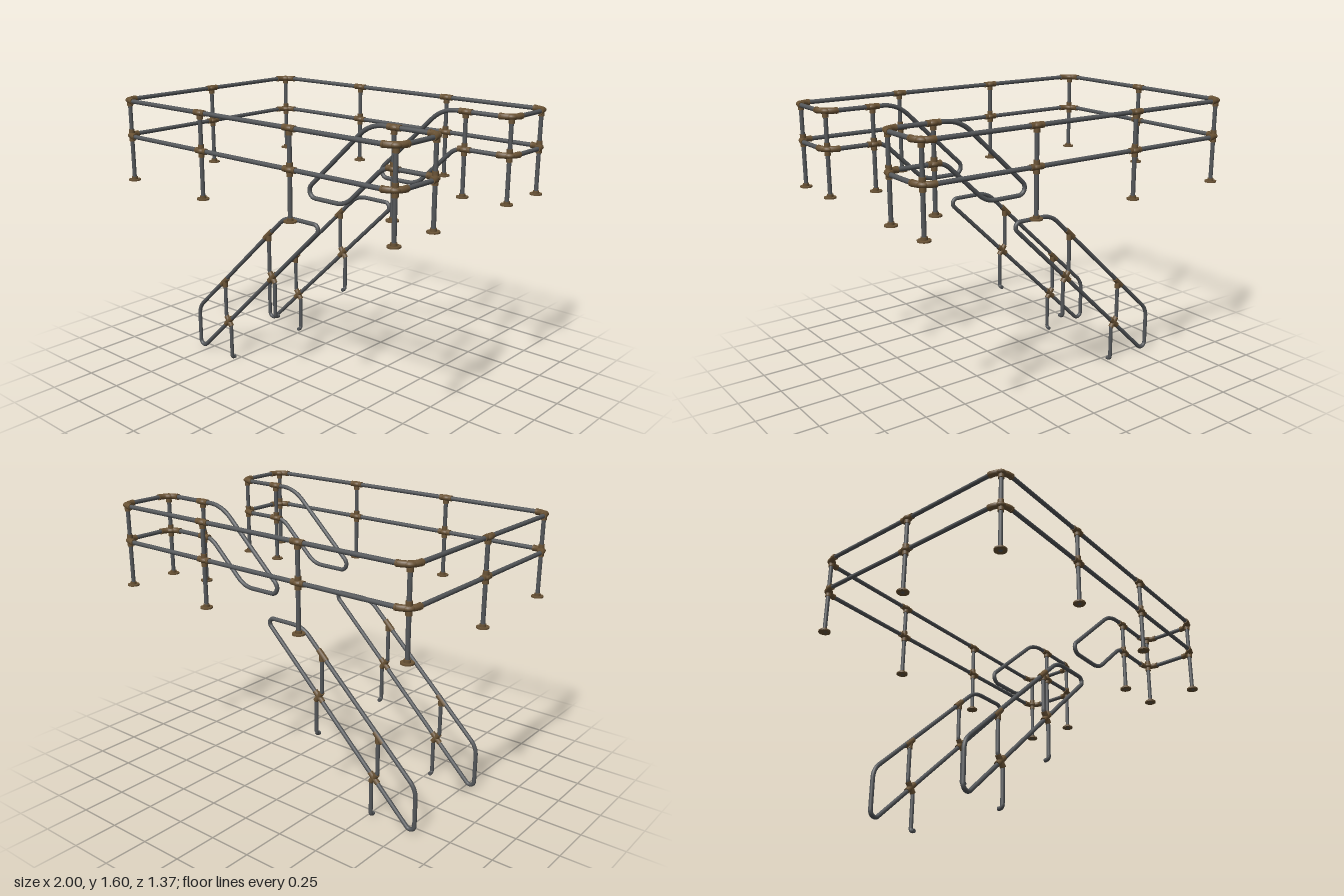
import * as THREE from 'three';

const pipeMat = new THREE.MeshStandardMaterial({ color: 0x54575a });
pipeMat.name = 'steel grey';
const fitMat = new THREE.MeshStandardMaterial({ color: 0x6a5335 });
fitMat.name = 'bronze brown';

const V = (x, y, z) => new THREE.Vector3(x, y, z);
const UP = V(0, 1, 0);
const R = 0.0122, TOP = 1.587, MID = 1.385, BASE = 1.12;

// Circular bend between two pipe directions (rational quadratic)
class Bend extends THREE.Curve {
  constructor(a, p, b) {
    super();
    Object.assign(this, { a, p, b });
    const u = a.clone().sub(p).normalize(), v = b.clone().sub(p).normalize();
    this.w = Math.sin(u.angleTo(v) / 2);
  }
  getPoint(t, out = V(0, 0, 0)) {
    const k0 = (1 - t) * (1 - t), k1 = 2 * t * (1 - t) * this.w, k2 = t * t;
    return out.set(0, 0, 0).addScaledVector(this.a, k0).addScaledVector(this.p, k1)
      .addScaledVector(this.b, k2).divideScalar(k0 + k1 + k2);
  }
}

function add(group, geo, mat, name) {
  const m = new THREE.Mesh(geo, mat);
  m.name = name;
  group.add(m);
  return m;
}

// Cylinder between two points
function rod(group, a, b, r, mat, name, open = false) {
  const d = b.clone().sub(a);
  const m = add(group, new THREE.CylinderGeometry(r, r, d.length(), 14, 1, open), mat, name);
  m.position.copy(a).addScaledVector(d, 0.5);
  m.quaternion.setFromUnitVectors(UP, d.normalize());
  return m;
}

// Sleeve centred on a point
function sleeve(group, p, dir, len, r) {
  const h = dir.clone().normalize().multiplyScalar(len / 2);
  rod(group, p.clone().sub(h), p.clone().add(h), r, fitMat, 'sleeve');
}

// Pipe through corner points; each entry is [x, y, z, trim length of the bend]
function pipe(parent, pts, closed, name, r = R) {
  const g = new THREE.Group();
  g.name = name;
  parent.add(g);
  const n = pts.length, P = pts.map(p => V(p[0], p[1], p[2])), bends = [];
  for (let i = 0; i < n; i++) {
    const p = P[i], d = pts[i][3] || 0;
    if (!d) { bends.push({ a: p, b: p }); continue; }
    const toward = q => p.clone().addScaledVector(q.clone().sub(p).normalize(), d);
    const bend = new Bend(toward(P[(i + n - 1) % n]), p, toward(P[(i + 1) % n]));
    bends.push(bend);
    add(g, new THREE.TubeGeometry(bend, 10, r, 14), pipeMat, 'bend');
  }
  for (let i = 0; i < (closed ? n : n - 1); i++) {
    rod(g, bends[i].b, bends[(i + 1) % n].a, r, pipeMat, 'straight', closed);
  }
  return bends;
}

// Rounded body of a fitting
function bulge(group, p, dir, sx, sy, sz) {
  const m = add(group, new THREE.SphereGeometry(1, 16, 10), fitMat, 'fittingBody');
  m.scale.set(sx, sy, sz);
  m.position.copy(p);
  m.rotation.y = Math.atan2(-dir.z, dir.x);
}

// Post with floor flange and a fitting at each rail
function post(parent, x, z, dir, corner) {
  const g = new THREE.Group();
  g.name = 'platformPost';
  parent.add(g);
  rod(g, V(x, BASE, z), V(x, TOP, z), 0.0118, pipeMat, 'upright');
  rod(g, V(x, BASE, z), V(x, BASE + 0.008, z), 0.034, fitMat, 'flange');
  rod(g, V(x, BASE + 0.008, z), V(x, BASE + 0.022, z), 0.017, fitMat, 'collar');
  for (const y of [TOP, MID]) {
    const p = V(x, y, z);
    bulge(g, p, dir, 0.03, 0.017, 0.024);
    if (!corner) sleeve(g, p, dir, 0.078, 0.0165);
    const low = y - 0.034, high = y === TOP ? y : y + 0.034;
    rod(g, V(x, low, z), V(x, high, z), 0.0165, fitMat, 'verticalSleeve');
  }
}

// Platform guard rail: top and middle rails joined by a sloping loop at each end
function platformRail(root) {
  const g = new THREE.Group();
  g.name = 'platformRailing';
  root.add(g);
  const zi = 0.306, zo = 0.653, xl = 0.978, xr = -0.973, c = 0.075;
  const plan = [[xl, zi], [xl, zo], [xr, zo], [xr, -zo], [xl, -zo], [xl, -zi]];
  const pts = [
    [0.543, TOP, zi, 0.09],
    ...plan.map(([x, z]) => [x, TOP, z, c]),
    [0.543, TOP, -zi, 0.09], [0.077, 1.145, -zi, 0.1],
    [0.385, 1.145, -zi, 0.06], [0.638, MID, -zi, 0.05],
    ...plan.slice().reverse().map(([x, z]) => [x, MID, z, c]),
    [0.638, MID, zi, 0.05], [0.385, 1.145, zi, 0.06], [0.077, 1.145, zi, 0.1],
  ];
  const bends = pipe(g, pts, true, 'guardRail');

  // Corner fittings wrap every platform bend; posts stand at the bend middle
  bends.forEach((b, i) => {
    const { p } = b;
    if (Math.abs(p.x) < 0.9) return;
    add(g, new THREE.TubeGeometry(b, 10, 0.0165, 14), fitMat, 'cornerFitting');
    for (const [e, o] of [[b.a, b.b], [b.b, b.a]]) {
      sleeve(g, e, p.clone().sub(e), 0.012, 0.0175);
    }
    if (p.y === TOP) {
      const m = b.getPoint(0.5);
      post(g, m.x, m.z, b.b.clone().sub(b.a), true);
    }
  });

  post(g, xr, 0, V(0, 0, 1), false);
  for (const s of [1, -1]) {
    for (const x of [-0.32, 0.33]) post(g, x, s * zo, V(1, 0, 0), false);
    post(g, 0.693, s * zi, V(1, 0, 0), false);
  }
}

// Stair handrail: closed sloping loop on two cranked posts
function stairRail(root, s) {
  const g = new THREE.Group();
  g.name = s > 0 ? 'frontStairRail' : 'backStairRail';
  root.add(g);
  const z = s * 0.306;
  pipe(g, [
    [-0.81, 0.272, z, 0.05], [-0.81, -0.017, z, 0.07],
    [0.238, 1.0, z, 0.07], [-0.044, 1.0, z, 0.06],
  ], true, 'handrailLoop', 0.0118);
  const slope = V(1, 0.96, 0), cross = V(0.75, -1, 0);
  for (const [x, y] of [[-0.54, 0.248], [-0.157, 0.62]]) {
    const foot = y - 0.236;
    pipe(g, [
      [x - 0.022, y + 0.25, z, 0], [x - 0.022, y + 0.03, z, 0.012],
      [x + 0.018, y - 0.025, z, 0.012], [x + 0.018, foot, z, 0.016],
      [x + 0.018, foot, z - s * 0.026, 0],
    ], false, 'stairPost', 0.0112);
    const hub = V(x, y, z), head = V(x - 0.026, y + 0.25, z);
    sleeve(g, hub, slope, 0.075, 0.0155);
    sleeve(g, hub, cross, 0.07, 0.0155);
    bulge(g, hub, V(1, 0, 0), 0.02, 0.02, 0.016);
    sleeve(g, head, slope, 0.075, 0.0155);
    rod(g, V(x - 0.022, y + 0.215, z), V(x - 0.022, y + 0.25, z), 0.0155, fitMat, 'headSleeve');
  }
}

export function createModel() {
  const root = new THREE.Group();
  root.name = 'stairAndPlatformRailing';
  platformRail(root);
  stairRail(root, 1);
  stairRail(root, -1);
  return root;
}
